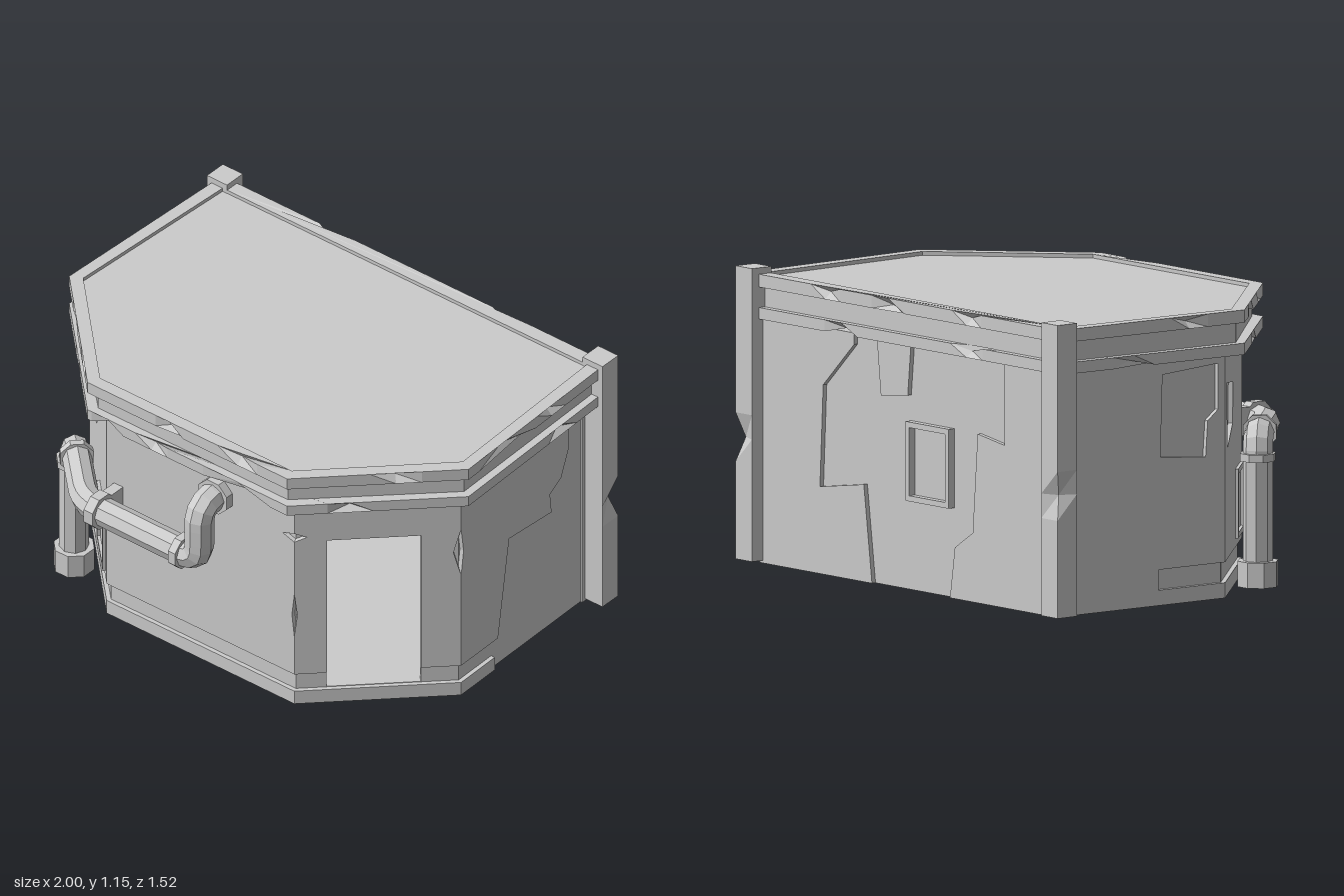
import * as THREE from 'three';

const V3 = (x, y, z) => new THREE.Vector3(x, y, z);
const material = new THREE.MeshStandardMaterial({ color: 0xcccccc, flatShading: true });

// Plans are [x, z] corners, running left to right as seen from outside, front edge first
const plan = (fx, fz, sx, sz, bx, bz) => [[-fx, fz], [fx, fz], [sx, sz], [bx, bz], [-bx, bz], [-sx, sz]];
const BODY = plan(0.47, 0.58, 0.93, 0.125, 0.91, -0.7);
const CORNICE = plan(0.5, 0.66, 1.0, 0.165, 0.965, -0.72);
const FRIEZE = plan(0.475, 0.625, 0.965, 0.15, 0.935, -0.69);
const RIM_HOLE = plan(0.48, 0.607, 0.95, 0.14, 0.912, -0.66);
const SKIN = 0.018, WALL = 0.04, TOP = 0.965;

function edge(p, i) {
  const [a, b] = [p[i], p[(i + 1) % p.length]];
  const length = Math.hypot(b[0] - a[0], b[1] - a[1]);
  const d = [(b[0] - a[0]) / length, (b[1] - a[1]) / length];
  return { a, d, n: [-d[1], d[0]], length };
}
const L = BODY.map((_, i) => edge(BODY, i).length);

function add(parent, name, geometry) {
  const mesh = new THREE.Mesh(geometry, material);
  mesh.name = name;
  parent.add(mesh);
  return mesh;
}

const path2 = (pts) => pts.map(([x, y]) => new THREE.Vector2(x, y));
const rect = (u0, v0, u1, v1) => [[u0, v0], [u1, v0], [u1, v1], [u0, v1]];

// Flat plate on body face i; outline in (distance along face, height), front at the given offset
function panel(parent, name, i, outline, holes = [], offset = 0, depth = SKIN) {
  const shape = new THREE.Shape(path2(outline));
  holes.forEach((h) => shape.holes.push(new THREE.Path(path2(h))));
  const g = new THREE.ExtrudeGeometry(shape, { depth, bevelEnabled: false });
  g.translate(0, 0, offset - depth);
  const { a, d, n } = edge(BODY, i);
  g.applyMatrix4(new THREE.Matrix4().makeBasis(V3(d[0], 0, d[1]), V3(0, 1, 0), V3(n[0], 0, n[1]))
    .setPosition(a[0], 0, a[1]));
  return add(parent, name, g);
}

// Horizontal slab from a plan; chips are [edge, fraction, half width, onTop]
function slab(parent, name, p, y0, y1, chips = [], hole = null) {
  const pts = [], dents = [];
  p.forEach((corner, i) => {
    pts.push(corner);
    const e = edge(p, i);
    chips.filter((c) => c[0] === i).sort((s, t) => s[1] - t[1]).forEach(([, f, w, onTop]) => {
      [-w, 0, w].forEach((o) => pts.push([0, 1].map((k) => e.a[k] + e.d[k] * (e.length * f + o))));
      dents.push({ at: pts[pts.length - 2], n: e.n, onTop });
    });
  });
  const shape = new THREE.Shape(path2(pts.map(([x, z]) => [x, -z])));
  if (hole) shape.holes.push(new THREE.Path(path2(hole.map(([x, z]) => [x, -z]))));
  const g = new THREE.ExtrudeGeometry(shape, { depth: y1 - y0, bevelEnabled: false });
  g.rotateX(-Math.PI / 2).translate(0, y0, 0);
  const pos = g.attributes.position;
  for (let k = 0; k < pos.count; k++) {
    const top = pos.getY(k) > (y0 + y1) / 2;
    for (const { at, n, onTop } of dents) {
      if (top !== onTop || Math.hypot(pos.getX(k) - at[0], pos.getZ(k) - at[1]) > 1e-4) continue;
      pos.setXYZ(k, at[0] - n[0] * 0.03, pos.getY(k) + (onTop ? -0.022 : 0.022), at[1] - n[1] * 0.03);
    }
  }
  g.computeVertexNormals();
  return add(parent, name, g);
}

// Rectangular frame with a sunken pane
function windowFrame(parent, name, i, u0, v0, u1, v1, bar, proud) {
  const inner = rect(u0 + bar, v0 + bar, u1 - bar, v1 - bar);
  panel(parent, name + 'Frame', i, rect(u0, v0, u1, v1), [inner], proud, 0.065 + proud);
  panel(parent, name + 'Pane', i, inner, [], -0.02, 0.03);
}

function buildWalls(body) {
  const door = [0.127, 0.492, 0.77];
  const doorway = (bottom, u0, u1, top) => [[u0, bottom], [door[0], bottom], [door[0], door[2]],
    [door[1], door[2]], [door[1], bottom], [u1, bottom], [u1, top], [u0, top]];
  // Inner structural walls
  const t = SKIN * 0.41;
  for (let i = 0; i < 6; i++) {
    const outline = i === 1 ? doorway(0.06, t, L[i] - t, TOP) : rect(t, 0, L[i] - t, TOP);
    panel(body, 'innerWall', i, outline, [], -SKIN, WALL);
  }
  slab(body, 'floor', plan(0.46, 0.56, 0.91, 0.115, 0.89, -0.68), 0, 0.06);

  // Plinth strips, leaving a groove above them
  [[0, 0, L[0]], [1, 0, L[1]], [2, 0, 0.21], [4, 0.5, L[4]], [5, 0, L[5]]]
    .forEach(([i, u0, u1]) => panel(body, 'plinth', i, rect(u0, 0, u1, 0.06)));

  // Plaster skin with broken outlines and nicked corners
  const nickRight = (u, y, h, d) => [[u, y - h], [u - d, y], [u, y + h]];
  const nickLeft = (y, h, d) => [[0, y + h], [d, y], [0, y - h]];
  panel(body, 'frontPlaster', 0, [[0, 0.14], [L[0], 0.14], ...nickRight(L[0], 0.42, 0.1, 0.012),
    ...nickRight(L[0], 0.79, 0.02, 0.06), [L[0], TOP], [0, TOP]]);
  const dw = doorway(0.14, 0, L[1], TOP);
  panel(body, 'doorPlaster', 1, [...dw.slice(0, 6), ...nickRight(L[1], 0.68, 0.11, 0.03), ...dw.slice(6),
    ...nickLeft(0.79, 0.02, 0.05), ...nickLeft(0.42, 0.1, 0.012)]);
  panel(body, 'leftSidePlaster', 2, [[0, 0.14], [0.23, 0.14], [0.3, 0.575], [0.565, 0.55], [0.555, 0.64],
    [0.625, 0.68], [0.675, 0.8], [0.675, TOP], [0, TOP], ...nickLeft(0.68, 0.11, 0.015)]);
  panel(body, 'backPlaster', 3, [[0, 0], [0.69, 0], [0.64, 0.38], [0.37, 0.34], [0.39, 0.74],
    [0.58, 0.92], [0.58, TOP], [0, TOP]]);
  panel(body, 'backPlaster', 3, [[1.17, 0], [L[3], 0], [L[3], TOP], [1.505, TOP], [1.505, 0.635],
    [1.34, 0.66], [1.31, 0.27], [1.2, 0.2]]);
  panel(body, 'backPlasterTab', 3, [[0.745, 0.74], [0.91, 0.76], [0.93, TOP], [0.72, TOP]]);
  panel(body, 'rightSidePlaster', 4, [[0, 0], [0.5, 0], [0.5, 0.14], [L[4], 0.14], [L[4], TOP], [0, TOP]],
    [[[0.51, 0.58], [0.73, 0.56], [0.74, 0.7], [0.79, 0.74], [0.79, 0.92], [0.52, 0.9]]]);
  panel(body, 'cornerPlaster', 5, rect(0, 0.14, L[5], TOP),
    [[[0.085, 0.57], [0.285, 0.64], [0.295, 0.8], [0.07, 0.83]]]);

  windowFrame(body, 'cornerWindow', 5, 0.385, 0.175, 0.61, 0.445, 0.02, 0.012);
  windowFrame(body, 'backWindow', 3, 0.91, 0.35, 1.175, 0.66, 0.022, 0.012);
}

function buildRoof(roof) {
  slab(roof, 'lowerCornice', CORNICE, 0.955, 1.0,
    [[0, 0.4 - 0.5 + 0.2, 0.08, false], [0, 0.75, 0.17, false], [0, 0.32, 0.08, true], [1, 0.35, 0.09, false],
      [2, 0.68, 0.09, false], [3, 0.3, 0.1, false], [3, 0.7, 0.1, true], [4, 0.4, 0.1, false], [5, 0.5, 0.08, false]]);
  slab(roof, 'frieze', FRIEZE, 1.0, 1.115);
  slab(roof, 'roofRim', CORNICE, 1.08, 1.13,
    [[0, 0.41, 0.07, false], [0, 0.75, 0.1, true], [1, 0.6, 0.1, true], [2, 0.28, 0.18, false],
      [2, 0.6, 0.09, true], [3, 0.45, 0.1, false], [3, 0.7, 0.09, true], [3, 0.25, 0.09, true],
      [4, 0.7, 0.09, true], [5, 0.35, 0.09, false], [5, 0.75, 0.08, true]], RIM_HOLE);
}

// Rear corner post with a chipped outer edge
function buildPost(parent, side) {
  const g = new THREE.BoxGeometry(0.1, 1.145, 0.096, 1, 12, 1);
  const pos = g.attributes.position;
  for (let k = 0; k < pos.count; k++) {
    const outer = pos.getX(k) * side > 0 && pos.getZ(k) < 0;
    if (outer && Math.abs(pos.getY(k) + 0.0954) < 0.01) {
      pos.setX(k, pos.getX(k) - side * 0.028);
      pos.setZ(k, pos.getZ(k) + 0.028);
    }
  }
  g.translate(side * 0.94, 0.5825, -0.707);
  add(parent, 'cornerPost', g);
}

function buildPipe(pipe) {
  // Straight runs joined by quadratic bends
  const corners = [V3(-0.765, 0, 0.42), V3(-0.765, 0.59, 0.42), V3(-0.48, 0.585, 0.695),
    V3(0.09, 0.58, 0.695), V3(0.09, 0.83, 0.695), V3(0.09, 0.83, 0.56)];
  const curve = new THREE.CurvePath();
  let from = corners[0];
  for (let i = 1; i < corners.length - 1; i++) {
    const c = corners[i];
    const before = c.clone().add(corners[i - 1].clone().sub(c).setLength(0.075));
    const after = c.clone().add(corners[i + 1].clone().sub(c).setLength(0.075));
    curve.add(new THREE.LineCurve3(from, before));
    curve.add(new THREE.QuadraticBezierCurve3(before, c, after));
    from = after;
  }
  curve.add(new THREE.LineCurve3(from, corners[corners.length - 1]));
  add(pipe, 'pipeRun', new THREE.TubeGeometry(curve, 56, 0.058, 8, false));

  const collar = (name, at, dir, radius, length) => {
    const g = new THREE.CylinderGeometry(radius, radius, length, 8).rotateY(Math.PI / 8);
    const m = add(pipe, name, g);
    m.position.copy(at);
    m.quaternion.setFromUnitVectors(V3(0, 1, 0), dir.normalize());
  };
  collar('pipeFoot', V3(-0.765, 0.05, 0.42), V3(0, 1, 0), 0.082, 0.1);
  collar('pipeCollar', V3(-0.765, 0.505, 0.42), V3(0, 1, 0), 0.072, 0.03);
  collar('pipeCollar', V3(-0.7, 0.589, 0.483), V3(1, 0, 0.96), 0.07, 0.03);
  collar('pipeCollar', V3(-0.41, 0.584, 0.695), V3(1, 0, 0), 0.076, 0.045);
  collar('pipeCollar', V3(0.005, 0.581, 0.695), V3(1, 0, 0), 0.072, 0.035);
  collar('wallFlange', V3(0.09, 0.83, 0.595), V3(0, 0, 1), 0.076, 0.04);
  [-0.41, 0.005].forEach((x) => {
    const bracket = add(pipe, 'pipeBracket', new THREE.BoxGeometry(0.045, 0.11, 0.09));
    bracket.position.set(x, 0.583, 0.615);
  });
}

export function createModel() {
  const model = new THREE.Group();
  model.name = 'building';
  const part = (name, build) => {
    const g = new THREE.Group();
    g.name = name;
    build(g);
    model.add(g);
  };
  part('body', buildWalls);
  part('roof', buildRoof);
  part('posts', (g) => [-1, 1].forEach((side) => buildPost(g, side)));
  part('pipe', buildPipe);
  return model;
}
